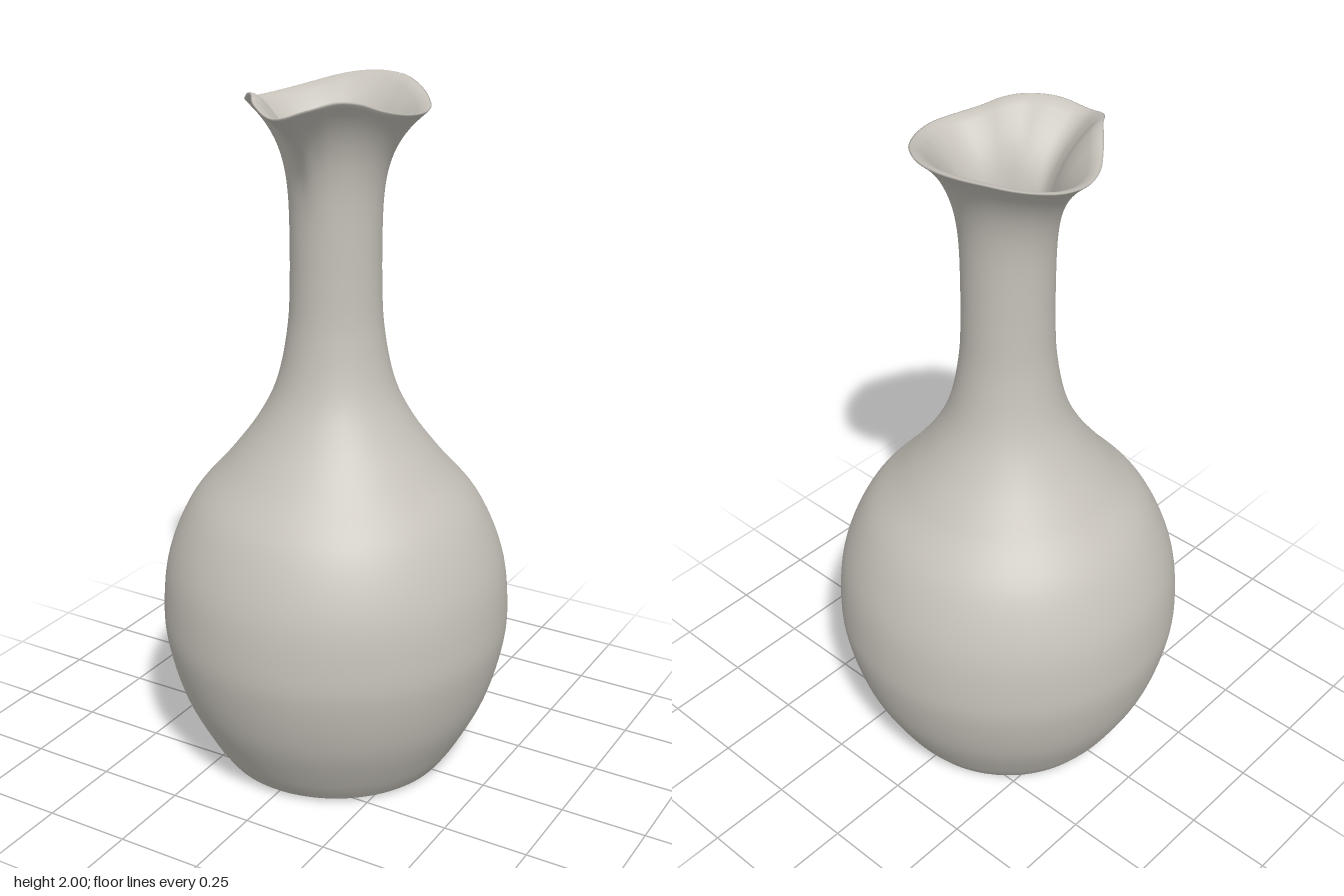
import * as THREE from 'three';
import { mergeVertices } from 'three/addons/utils/BufferGeometryUtils.js';

const NECK_Y = 1.5, NECK_R = 0.127, WALL = 0.023;

// Mouth outline every 15 degrees, from the spout (front) round to the back
const RIM_RADIUS = [0.315, 0.292, 0.252, 0.238, 0.24, 0.252, 0.26, 0.256, 0.248, 0.247, 0.252, 0.264, 0.27];
const RIM_HEIGHT = [1.953, 1.975, 1.991, 1.985, 1.964, 1.95, 1.946, 1.948, 1.957, 1.97, 1.985, 1.996, 2.0];

// Smooth mirrored interpolation round the mouth
function around(table, angle) {
  const last = table.length - 1;
  const at = (i) => table[last - Math.abs(last - Math.abs(i))];
  const s = Math.abs(angle) / Math.PI * last;
  const i = Math.min(Math.floor(s), last - 1), f = s - i;
  const [a, b, c, d] = [at(i - 1), at(i), at(i + 1), at(i + 2)];
  return b + 0.5 * f * (c - a + f * (2 * a - 5 * b + 4 * c - d + f * (3 * (b - c) + d - a)));
}

const vectors = (list) => list.map(([x, y]) => new THREE.Vector2(x, y));
const smooth = (list, n) => new THREE.SplineCurve(vectors(list)).getPoints(n);

function vesselProfile() {
  const body = [
    [0.34, 0.012], [0.385, 0.08], [0.455, 0.22], [0.497, 0.37], [0.507, 0.49], [0.487, 0.65],
    [0.418, 0.81], [0.31, 0.94], [0.222, 1.06], [0.165, 1.18], [0.134, 1.34], [NECK_R, NECK_Y],
  ];
  const inner = body.map(([r, y]) => [r - WALL, Math.max(y, 0.035)]).reverse();
  const steps = Array.from({ length: 24 }, (_, i) => NECK_Y + (i + 1) / 24 * 0.483);
  return [
    ...vectors([[0, 0], [0.15, 0], [0.27, 0], [0.295, 0.001], [0.32, 0.004]]),
    ...smooth(body, 66),
    ...steps.map((y) => new THREE.Vector2(NECK_R, y)),
    // rounded lip
    ...vectors([[0.1265, 1.993], [0.123, 1.999], [0.117, 2], [0.11, 1.997], [0.1055, 1.991]]),
    ...steps.reverse().map((y) => new THREE.Vector2(NECK_R - WALL, y)),
    ...smooth(inner, 66),
    ...vectors([[0.27, 0.025], [0.14, 0.025], [0, 0.025]]),
  ];
}

// Flare the top of the round neck out to the wavy, spouted rim
function flareMouth(geometry) {
  const p = geometry.attributes.position;
  for (let i = 0; i < p.count; i++) {
    const x = p.getX(i), y = p.getY(i), z = p.getZ(i);
    if (y <= NECK_Y) continue;
    const t = (y - NECK_Y) / (2 - NECK_Y);
    const angle = Math.atan2(x, z);
    const r = Math.hypot(x, z);
    const flared = r + (around(RIM_RADIUS, angle) + 0.007 - NECK_R) * Math.pow(t, 4.3);
    p.setXYZ(i, x / r * flared, NECK_Y + t * (around(RIM_HEIGHT, angle) - NECK_Y), z / r * flared);
  }
}

export function createModel() {
  const clay = new THREE.MeshStandardMaterial({ color: 0xc6c2ba });
  clay.name = 'warm grey ceramic';

  let geometry = new THREE.LatheGeometry(vesselProfile(), 120);
  geometry.deleteAttribute('uv');
  geometry.deleteAttribute('normal');
  flareMouth(geometry);
  geometry = mergeVertices(geometry, 1e-5); // close the seam for smooth shading
  geometry.computeVertexNormals();

  const vessel = new THREE.Mesh(geometry, clay);
  vessel.name = 'carafe';
  const model = new THREE.Group();
  model.name = 'spouted carafe';
  model.add(vessel);
  return model;
}
